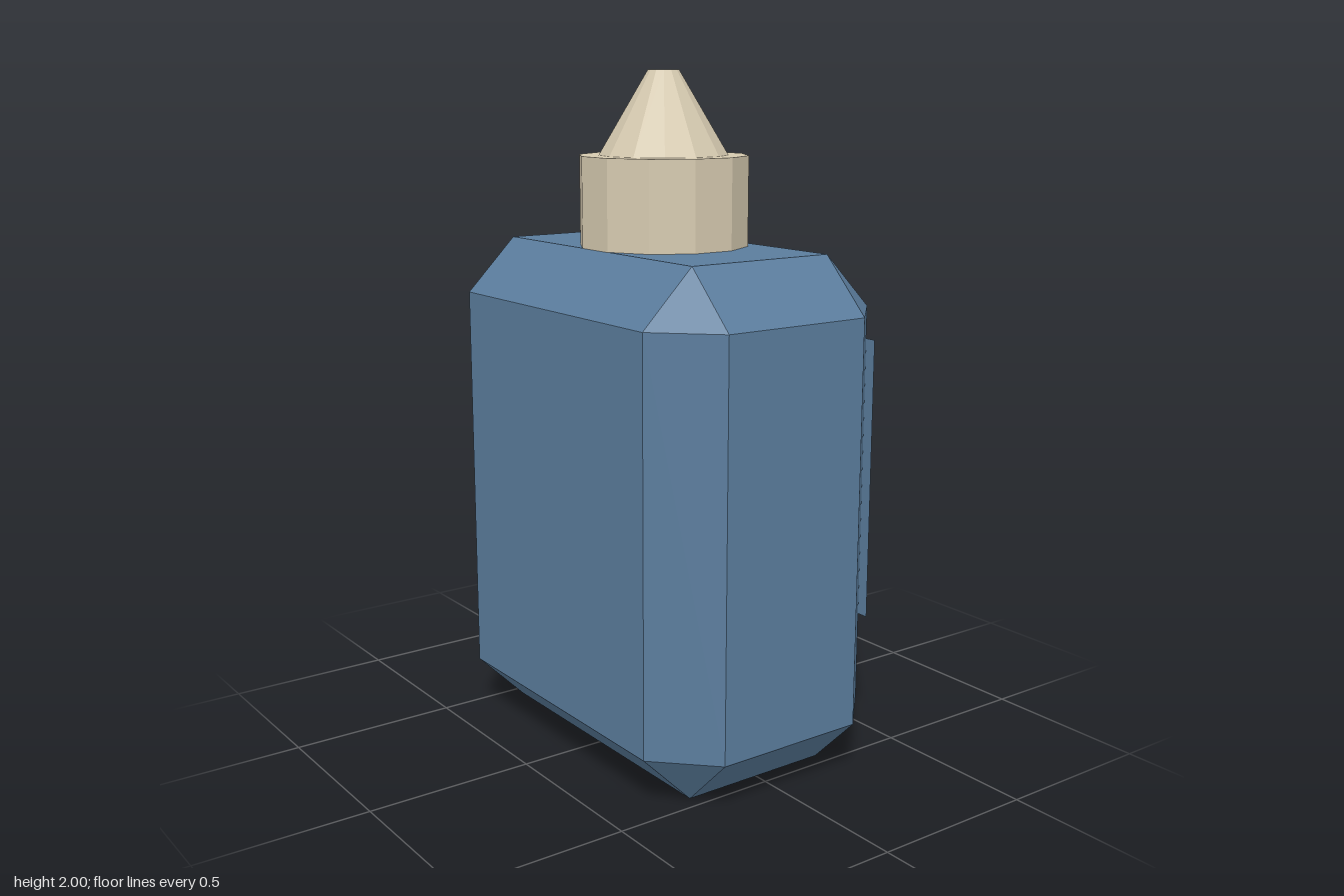
import * as THREE from 'three';
import { ConvexGeometry } from 'three/addons/geometries/ConvexGeometry.js';

const material = (name, color) => {
  const m = new THREE.MeshStandardMaterial({ color, flatShading: true });
  m.name = name;
  return m;
};

// Box with equal chamfers on every edge and triangular corners
function chamferedBox(w, h, d, c) {
  const points = [];
  for (const sx of [-1, 1]) for (const sy of [-1, 1]) for (const sz of [-1, 1]) {
    const [x, y, z] = [w / 2, h / 2, d / 2];
    for (const [a, b, e] of [[x, y - c, z - c], [x - c, y, z - c], [x - c, y - c, z]]) {
      points.push(new THREE.Vector3(sx * a, sy * b, sz * e));
    }
  }
  return new ConvexGeometry(points);
}

// Flat rectangle with rounded corners, from x0..x1 and y0..y1
function roundedPatch(x0, x1, y0, y1, r) {
  const s = new THREE.Shape();
  s.moveTo(x0 + r, y0);
  s.lineTo(x1 - r, y0);
  s.quadraticCurveTo(x1, y0, x1, y0 + r);
  s.lineTo(x1, y1 - r);
  s.quadraticCurveTo(x1, y1, x1 - r, y1);
  s.lineTo(x0 + r, y1);
  s.quadraticCurveTo(x0, y1, x0, y1 - r);
  s.lineTo(x0, y0 + r);
  s.quadraticCurveTo(x0, y0, x0 + r, y0);
  return new THREE.ShapeGeometry(s, 4);
}

export function createModel() {
  const model = new THREE.Group();
  model.name = 'bottle';
  const blue = material('bottleBlue', 0x5b7d9d);
  const cream = material('capCream', 0xd6cab0);
  const grey = material('printGrey', 0xbab8ae);
  blue.side = grey.side = THREE.DoubleSide;

  const add = (parent, name, geometry, mat, x = 0, y = 0, z = 0) => {
    const mesh = new THREE.Mesh(geometry, mat);
    mesh.name = name;
    mesh.position.set(x, y, z);
    parent.add(mesh);
    return mesh;
  };

  // Bottle, twelve-sided collar and thirteen-sided nozzle
  add(model, 'bottleBody', chamferedBox(1.23, 1.5, 0.784, 0.158), blue, 0, 0.75, 0.005);
  add(model, 'collar', new THREE.CylinderGeometry(0.248, 0.248, 0.27, 12, 1, false, Math.PI / 12), cream, 0, 1.625, 0);
  add(model, 'nozzle', new THREE.CylinderGeometry(0.045, 0.188, 0.24, 13), cream, 0, 1.88, 0);

  // Label on the back; its local x runs left to right as read
  const label = new THREE.Group();
  label.name = 'backLabel';
  label.position.z = -0.394;
  label.rotation.y = Math.PI;
  model.add(label);
  add(label, 'labelPanel', new THREE.PlaneGeometry(0.97, 0.835), blue, 0, 0.828, 0);

  // Abstract printed blocks: a long bar and a broken second row
  const blocks = [
    [-0.39, 0.39, 1.05, 1.11, 0.028],
    [-0.39, -0.25, 0.885, 0.975, 0.02],
    [-0.238, -0.043, 0.885, 0.975, 0.02],
    [0.037, 0.195, 0.885, 0.975, 0.02],
    [0.185, 0.24, 0.89, 0.935, 0.005],
    [0.23, 0.39, 0.885, 0.975, 0.02],
  ];
  for (const b of blocks) add(label, 'printBlock', roundedPatch(...b), grey, 0, 0, 0.0025);

  // Diagonal run of small steps with cream centres
  for (const [x, y] of [[-0.304, 0.925], [-0.231, 0.865], [-0.166, 0.796], [-0.1, 0.728]]) {
    add(label, 'printStep', roundedPatch(-0.036, 0.036, -0.042, 0.042, 0.012), grey, x, y, 0.003);
    add(label, 'printStepCentre', roundedPatch(-0.022, 0.022, -0.025, 0.025, 0.008), cream, x, y, 0.004);
  }
  return model;
}
